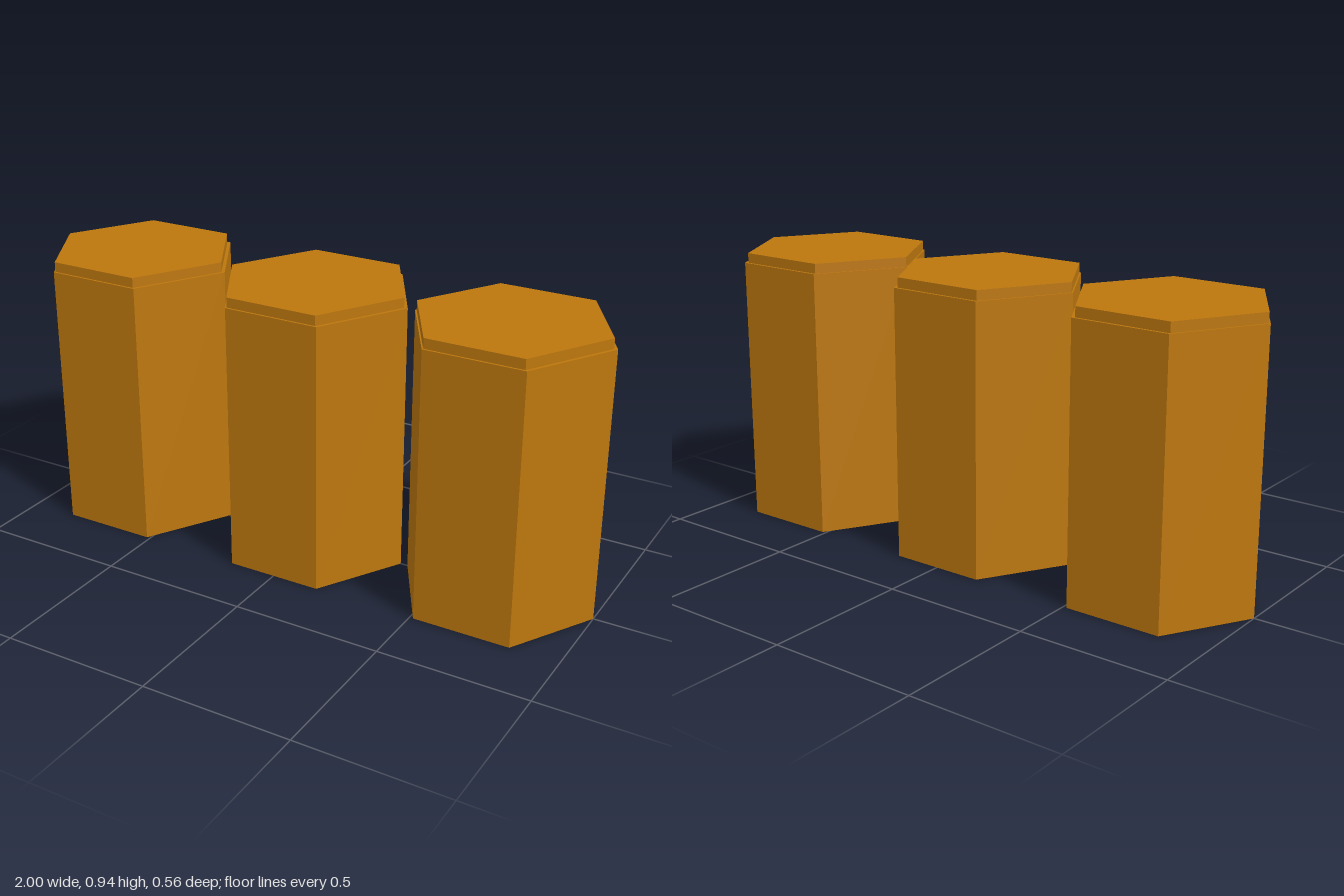
import * as THREE from 'three';

const BODY_HEIGHT = 0.905;
const CAP_HEIGHT = 0.033;

// Six-sided prism with corners pointing along x, standing on the given base height
function hexPrism(name, radius, height, baseY, material) {
  const geometry = new THREE.CylinderGeometry(radius, radius, height, 6, 1, false, Math.PI / 2);
  const mesh = new THREE.Mesh(geometry.toNonIndexed(), material);
  mesh.geometry.computeVertexNormals();
  mesh.name = name;
  mesh.position.y = baseY + height / 2;
  return mesh;
}

export function createModel() {
  const model = new THREE.Group();
  model.name = 'hexagonalColumns';

  const amber = new THREE.MeshStandardMaterial({ color: 0xbd770e });
  amber.name = 'amber';

  // Row of three columns, each with a slightly narrower cap
  ['rightColumn', 'middleColumn', 'leftColumn'].forEach((name, i) => {
    const column = new THREE.Group();
    column.name = name;
    column.position.x = (i - 1) * 0.675;
    const body = hexPrism('body', 0.325, BODY_HEIGHT, 0, amber);
    const cap = hexPrism('cap', 0.316, CAP_HEIGHT, BODY_HEIGHT, amber);
    cap.position.x = -0.003;
    cap.position.z = 0.001;
    column.add(body, cap);
    model.add(column);
  });

  return model;
}
